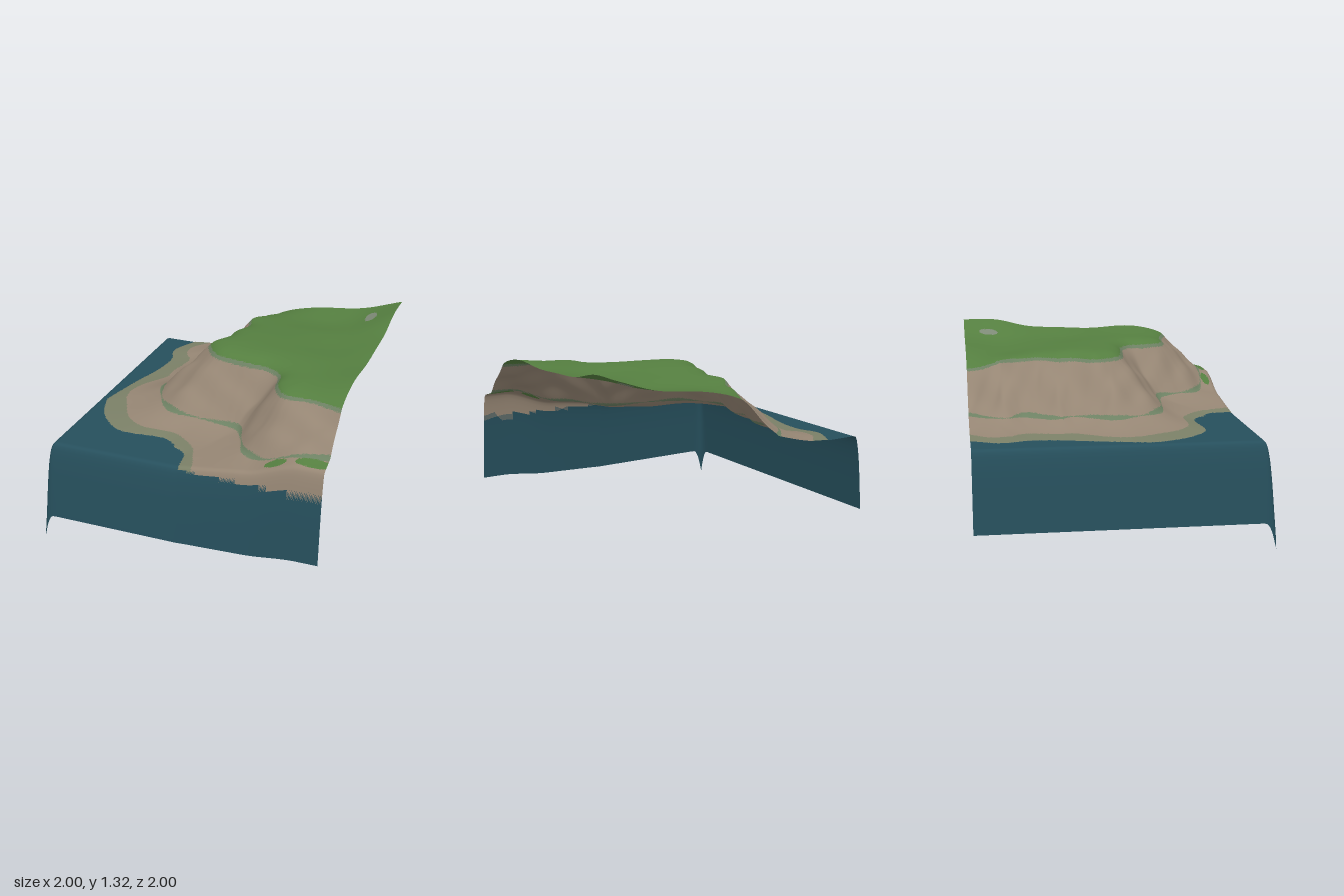
import * as THREE from 'three';

// Contour lines of the coast (x, z pairs) from the back edge round to the front or right edge
const SHORE = [-.68,-1, -.77,-.8, -.72,-.62, -.74,-.4, -.8,-.18, -.87,.14, -.87,.22, -.8,.4, -.67,.55,
  -.53,.61, -.27,.59, -.16,.64, -.12,.69, -.03,.75, 0,.9, .05,1.2];
const BEACH = [-.54,-1, -.64,-.88, -.64,-.74, -.57,-.63, -.61,-.4, -.61,-.29, -.7,-.15, -.755,-.02, -.755,.11,
  -.69,.25, -.6,.41, -.45,.51, -.21,.52, -.1,.58, 0,.67, .045,.78, .09,.9, .14,1.2];
const FOOT = [-.25,-1, -.37,-.85, -.4,-.74, -.34,-.61, -.44,-.4, -.41,-.29, -.45,-.15, -.505,-.05, -.495,.06,
  -.41,.235, -.265,.35, -.02,.39, .22,.42, .31,.57, .39,.72, .56,.81, .78,.835, 1.02,.81];
const RIM = [.045,-1, 0,-.82, .02,-.77, -.05,-.64, -.02,-.5, -.08,-.37, -.09,-.25, -.16,-.13, -.15,-.05,
  -.05,.075, .16,.12, .35,.15, .47,.235, .5,.38, .59,.5, .78,.52, 1.02,.59];

// Plateau heights, columns at PX and rows at PZ
const PX = [0, .35, .7, 1];
const PZ = [-1, -.75, -.5, -.25, 0, .3, .6];
const PLATEAU = [
  [1.11, 1.18, 1.225, 1.32], [1.17, 1.165, 1.2, 1.315], [1.2, 1.19, 1.205, 1.26], [1.22, 1.21, 1.205, 1.245],
  [1.22, 1.225, 1.22, 1.235], [1.22, 1.225, 1.215, 1.25], [1.2, 1.2, 1.2, 1.215],
];

const clamp = THREE.MathUtils.clamp;
const smooth = THREE.MathUtils.smoothstep;

// Piecewise curve through (keys, values) with smooth tangents
function curveAt(keys, values, k) {
  const n = keys.length - 1;
  k = clamp(k, keys[0], keys[n]);
  let i = 0;
  while (i < n - 1 && k > keys[i + 1]) i++;
  const slope = (j) => {
    const a = Math.max(j - 1, 0), b = Math.min(j + 1, n);
    return (values[b] - values[a]) / (keys[b] - keys[a]);
  };
  const w = keys[i + 1] - keys[i], t = (k - keys[i]) / w, t2 = t * t, t3 = t2 * t;
  return (2 * t3 - 3 * t2 + 1) * values[i] + (t3 - 2 * t2 + t) * w * slope(i)
    + (3 * t2 - 2 * t3) * values[i + 1] + (t3 - t2) * w * slope(i + 1);
}

// Signed distance to a contour: positive on the land side
function makeContour(flat) {
  const ctrl = [];
  for (let i = 0; i < flat.length; i += 2) ctrl.push(new THREE.Vector2(flat[i], flat[i + 1]));
  const line = new THREE.SplineCurve(ctrl).getPoints(ctrl.length * 4);
  const last = line[line.length - 1];
  const poly = [...line, { x: 1.3, y: last.y }, { x: 1.3, y: -1.3 }, { x: line[0].x, y: -1.3 }];
  return (x, z) => {
    let best = Infinity, inside = false;
    for (let i = 0; i < poly.length; i++) {
      const a = poly[i], b = poly[(i + 1) % poly.length];
      if ((a.y > z) !== (b.y > z) && x < a.x + (b.x - a.x) * (z - a.y) / (b.y - a.y)) inside = !inside;
      if (i >= line.length - 1) continue;
      const dx = b.x - a.x, dz = b.y - a.y;
      const t = clamp(((x - a.x) * dx + (z - a.y) * dz) / (dx * dx + dz * dz || 1), 0, 1);
      best = Math.min(best, (x - a.x - dx * t) ** 2 + (z - a.y - dz * t) ** 2);
    }
    return (inside ? 1 : -1) * Math.sqrt(best);
  };
}

// Share of the height kept near a turned-down edge, by distance from that edge
const edgeKeep = (d) => (d > .09 ? 1 : curveAt([0, .03, .06, .09], [.25, .72, .96, 1], d));

function heightAt(x, z, d) {
  const footY = .815 + .115 * smooth(x, .45, .85);
  const rimY = 1.17 - .08 * smooth(-z, .65, 1) + .01 * smooth(x, .6, 1);
  const between = (a, b) => Math.abs(a) / (Math.abs(a) + Math.abs(b) + 1e-6);
  let h = .727;
  if (d.rim > 0) {
    const top = curveAt(PZ, PLATEAU.map((row) => curveAt(PX, row, x)), z);
    h = rimY + (top - rimY) * (1 - Math.exp(-d.rim / .06));
  } else if (d.foot > 0) {
    // cliff face with shallow gullies
    const t = between(d.foot, d.rim);
    const gully = Math.sin(13 * x + 19 * z) + .6 * Math.sin(31 * z - 17 * x + 1);
    h = footY + (rimY - footY) * t + .012 * gully * Math.sin(Math.PI * t);
  } else if (d.beach > 0) {
    const t = between(d.beach, d.foot);
    h = .742 + (footY - .742) * (.45 * t + .55 * t * t);
  } else if (d.shore > 0) {
    h = .73 + .012 * between(d.shore, d.beach);
  }
  // left and front edges turn down
  const fx = edgeKeep(1 + x), fz = edgeKeep(1 - z), f = fx * fz;
  return .727 * f + (h - .727) * Math.pow(f, .7) - .045 * ((1 - fx) / .75) * ((1 - fz) / .75);
}

const inEllipse = (x, z, cx, cz, rx, rz) => ((x - cx) / rx) ** 2 + ((z - cz) / rz) ** 2 < 1;

// Which ground covers a point
function groundAt(x, y, z, d) {
  if (d.shore < 0 || y < .712) return 'water';
  if (d.rim > 0) return inEllipse(x, z, .815, -.815, .042, .07) ? 'stonePatch' : 'grass';
  if (d.rim > -.02) return 'scrubEdge';
  if (inEllipse(x, z, .655, .868, .075, .032) || inEllipse(x, z, .92, .872, .13, .036)) return 'grass';
  if (Math.abs(d.foot) < .011 + .008 * Math.sin(9 * x + 14 * z)) return 'scrubEdge';
  if (d.beach < 0) return 'wetSand';
  return 'cliffAndSand';
}

export function createModel() {
  const group = new THREE.Group();
  group.name = 'coastTerrain';
  const colors = {
    water: 0x264f5c, wetSand: 0x7b8067, cliffAndSand: 0x968674,
    scrubEdge: 0x6d8163, grass: 0x557f40, stonePatch: 0x7e8a77,
  };
  const contours = {
    shore: makeContour(SHORE), beach: makeContour(BEACH), foot: makeContour(FOOT), rim: makeContour(RIM),
  };
  const names = Object.keys(contours);

  // Height field
  const N = 240, R = N + 1;
  const pos = new Float32Array(R * R * 3), dist = [];
  for (let j = 0; j < R; j++) {
    for (let i = 0; i < R; i++) {
      const x = -1 + 2 * i / N, z = -1 + 2 * j / N, d = {};
      for (const n of names) d[n] = contours[n](x, z);
      dist.push(d);
      pos.set([x, Math.max(0, heightAt(x, z, d)), z], (j * R + i) * 3);
    }
  }

  // Soften the creases between the zones, leaving the border alone
  for (let pass = 0; pass < 3; pass++) {
    const old = pos.slice();
    for (let j = 1; j < N; j++) {
      for (let i = 1; i < N; i++) {
        const k = (j * R + i) * 3 + 1;
        pos[k] = old[k] * .5 + (old[k - 3] + old[k + 3] + old[k - 3 * R] + old[k + 3 * R]) * .125;
      }
    }
  }

  // Sort the triangles by ground cover
  const faces = {}, all = [];
  for (const n in colors) faces[n] = [];
  const addFace = (...v) => {
    const mean = (fn) => (fn(v[0]) + fn(v[1]) + fn(v[2])) / 3, d = {};
    for (const n of names) d[n] = mean((k) => dist[k][n]);
    const [x, y, z] = [0, 1, 2].map((c) => mean((k) => pos[k * 3 + c]));
    faces[groundAt(x, y, z, d)].push(...v);
    all.push(...v);
  };
  for (let j = 0; j < N; j++) {
    for (let i = 0; i < N; i++) {
      const a = j * R + i, b = a + 1, c = a + R, e = c + 1;
      addFace(a, c, b);
      addFace(b, c, e);
    }
  }

  // One mesh per ground cover, sharing smooth normals across the whole sheet
  const sheet = new THREE.BufferGeometry();
  sheet.setAttribute('position', new THREE.BufferAttribute(pos, 3));
  sheet.setIndex(all);
  sheet.computeVertexNormals();
  for (const n in colors) {
    const geo = new THREE.BufferGeometry();
    geo.setAttribute('position', sheet.attributes.position);
    geo.setAttribute('normal', sheet.attributes.normal);
    geo.setIndex(faces[n]);
    const mat = new THREE.MeshStandardMaterial({ color: colors[n], side: THREE.DoubleSide });
    mat.name = n;
    const mesh = new THREE.Mesh(geo, mat);
    mesh.name = n;
    group.add(mesh);
  }
  return group;
}
